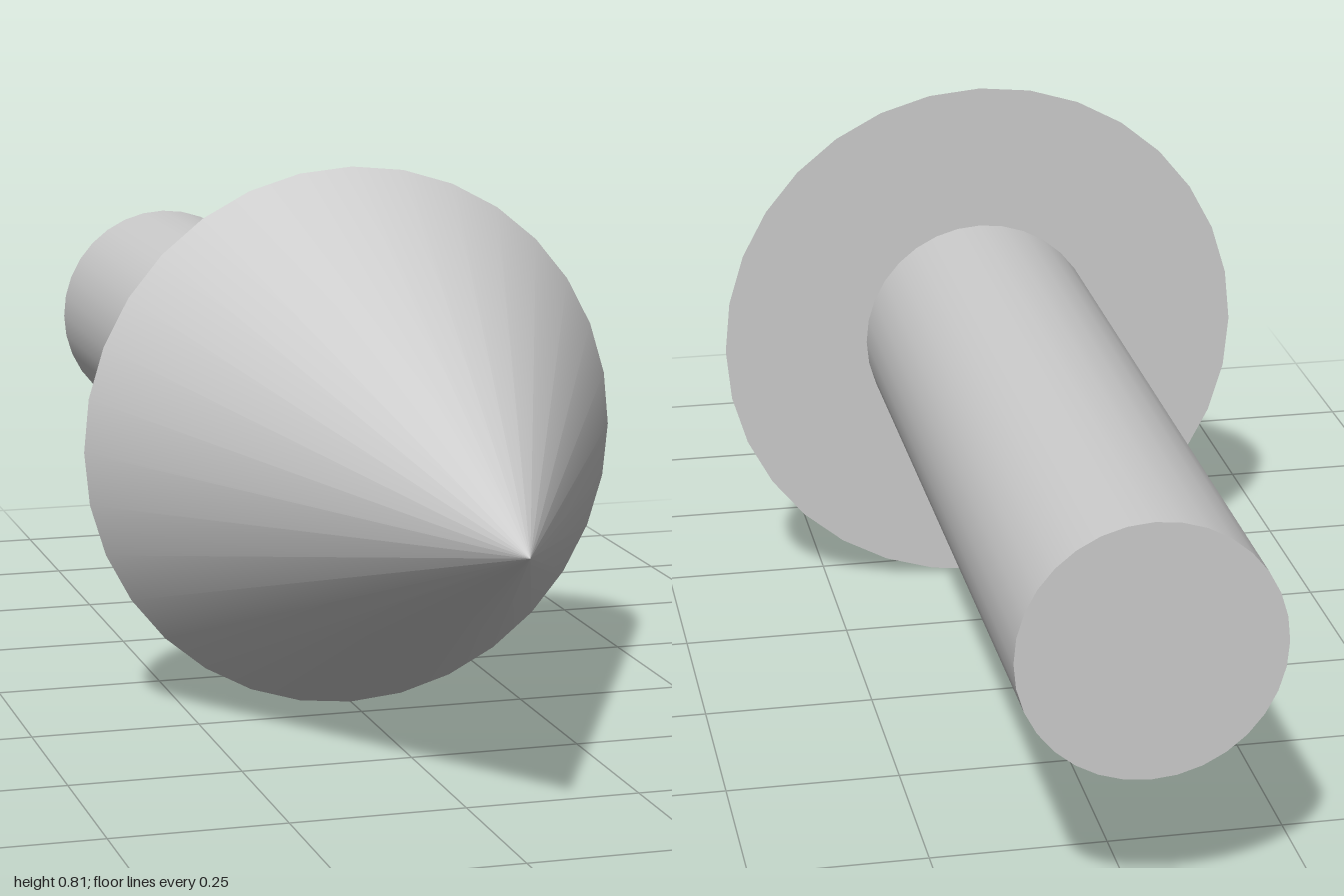
import * as THREE from 'three';

const SIDES = 32;
const HEAD_RADIUS = 0.405;
const SHAFT_RADIUS = 0.182;
const BACK = -1, NECK = 0.193, TIP = 1;

// Round solid lying along z, wide end r0 at z0, far end r1 at z1
function roundBar(name, r0, z0, r1, z1, material) {
  const geometry = new THREE.CylinderGeometry(r1, r0, z1 - z0, SIDES);
  geometry.rotateX(Math.PI / 2);
  const mesh = new THREE.Mesh(geometry, material);
  mesh.name = name;
  mesh.position.set(0, HEAD_RADIUS, (z0 + z1) / 2);
  return mesh;
}

export function createModel() {
  const grey = new THREE.MeshStandardMaterial({ color: 0xcccccc });
  const arrow = new THREE.Group();
  arrow.name = 'arrow';

  // Pointed head facing +z, shaft running to the back
  arrow.add(roundBar('arrowHead', HEAD_RADIUS, NECK, 0, TIP, grey));
  arrow.add(roundBar('shaft', SHAFT_RADIUS, BACK, SHAFT_RADIUS, NECK, grey));
  return arrow;
}
